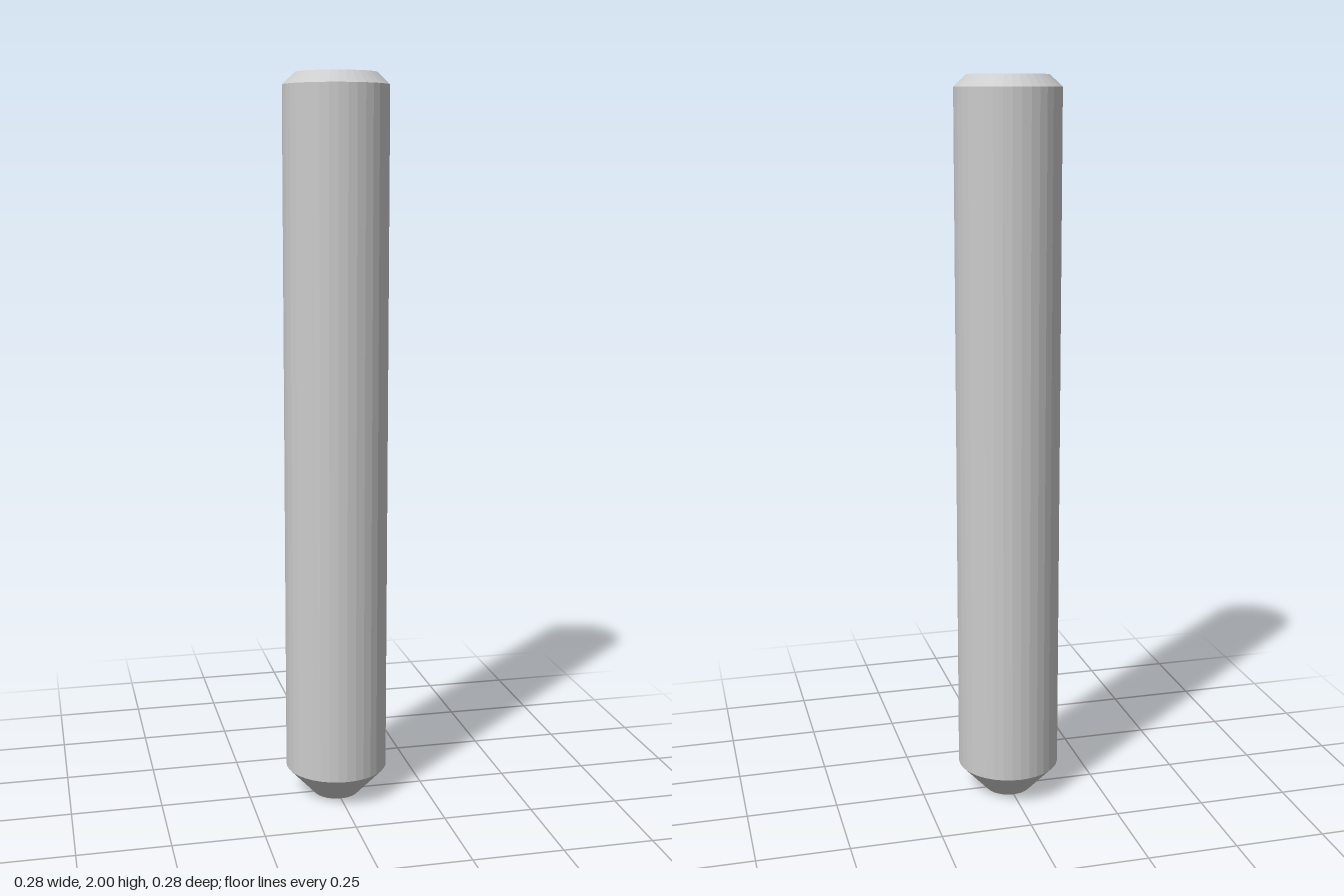
import * as THREE from 'three';

const SIDES = 36;
const HEX_CORNER = 0.075;
const HEX_FLAT = HEX_CORNER * Math.cos(Math.PI / 6);
const TOP = 2;
const FLOOR = 1.81;

function lathe(points) {
  return new THREE.LatheGeometry(points.map(([r, y]) => new THREE.Vector2(r, y)), SIDES);
}

// Distance from the axis to the hexagon's wall, with corners on the x axis
function hexRadius(angle) {
  const step = Math.PI / 3;
  const a = ((angle % step) + step) % step;
  return HEX_FLAT / Math.cos(a - step / 2);
}

// Hexagonal key socket with a countersunk round mouth
function socketGeometry() {
  const profile = [[HEX_CORNER, TOP], [HEX_CORNER, 1.99], [HEX_CORNER, FLOOR], [0, FLOOR]];
  const geo = lathe(profile);
  const pos = geo.attributes.position;
  for (let i = 0; i < pos.count; i++) {
    const ring = i % profile.length;
    if (ring !== 1 && ring !== 2) continue;
    const angle = Math.atan2(pos.getZ(i), pos.getX(i));
    const r = hexRadius(angle + 1e-9);
    const y = ring === 1 ? TOP - (HEX_CORNER - r) : FLOOR;
    pos.setXYZ(i, r * Math.cos(angle), y, r * Math.sin(angle));
  }
  geo.computeVertexNormals();
  return geo;
}

export function createModel() {
  const group = new THREE.Group();
  group.name = 'setScrew';
  const material = new THREE.MeshStandardMaterial({ color: 0xcccccc, flatShading: true });
  const add = (name, geometry) => {
    const mesh = new THREE.Mesh(geometry, material);
    mesh.name = name;
    group.add(mesh);
  };

  // Hollow cup and chamfer at the tip
  add('cupPoint', lathe([[0, 0.037], [0.064, 0], [0.142, 0.083]]));
  // Straight shank
  add('shank', lathe([[0.142, 0.083], [0.142, 1.968]]));
  // Chamfered top with its flat rim
  add('topRim', lathe([[0.142, 1.968], [0.108, TOP], [HEX_CORNER, TOP]]));
  add('hexSocket', socketGeometry());
  return group;
}
